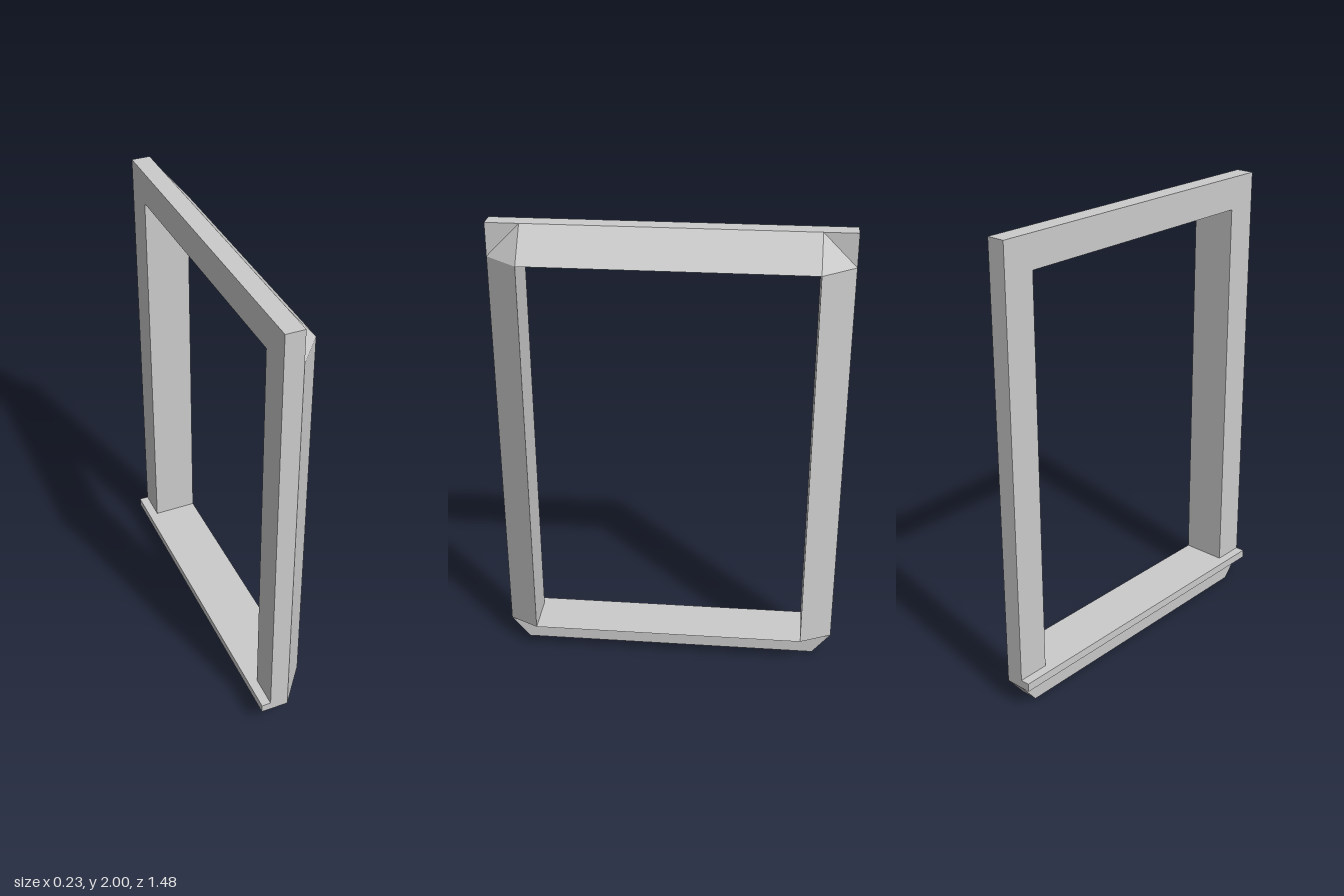
import * as THREE from 'three';
import { ConvexGeometry } from 'three/addons/geometries/ConvexGeometry.js';

const OUT = 0.74, IN = 0.6;              // half widths of frame and opening
const TOP = 2, HEAD = 1.86;              // top of frame, underside of header
const SILL = 0.137, UNDER = 0.1;         // top and underside of sill
const BACK = -0.08, LIP = -0.12, NOSE = 0.115;

export function createModel() {
  const group = new THREE.Group();
  const material = new THREE.MeshStandardMaterial({ color: 0xcccccc, flatShading: true });

  // Faceted solid around a few corner points
  const solid = (name, points) => {
    const geometry = new ConvexGeometry(points.map((p) => new THREE.Vector3(...p)));
    const mesh = new THREE.Mesh(geometry, material);
    mesh.name = name;
    group.add(mesh);
  };
  // Repeats [x, y, z] points on both sides of z = 0
  const mirrored = (points) => points.flatMap(([x, y, z]) => [[x, y, z], [x, y, -z]]);

  // Jambs: flat back with a bevelled face reaching out to the opening
  for (const [name, s] of [['frontJamb', 1], ['backJamb', -1]]) {
    const profile = [[BACK, OUT], [0, OUT], [NOSE, IN], [BACK, IN]];
    solid(name, profile.flatMap(([x, z]) => [[x, SILL, s * z], [x, HEAD, s * z]]));
  }

  // Header: flat bar and sloping face with cut corners
  solid('headerBar', mirrored([[BACK, HEAD, OUT], [BACK, TOP, OUT], [0, HEAD, OUT], [0, TOP, OUT]]));
  solid('headerBevel', mirrored([[0, TOP, IN], [NOSE, HEAD, IN], [0, HEAD, OUT]]));

  // Sill: level top, a lip behind and a thin nose in front
  solid('sill', mirrored([
    [LIP, SILL, OUT], [LIP, UNDER, OUT], [0, UNDER, OUT], [0, SILL, OUT], [NOSE, SILL, IN],
  ]));

  // Apron below the sill, with slanted ends
  solid('apron', mirrored([[BACK, UNDER, OUT], [0, UNDER, OUT], [-0.075, 0, 0.66], [-0.002, 0, 0.66]]));

  return group;
}
